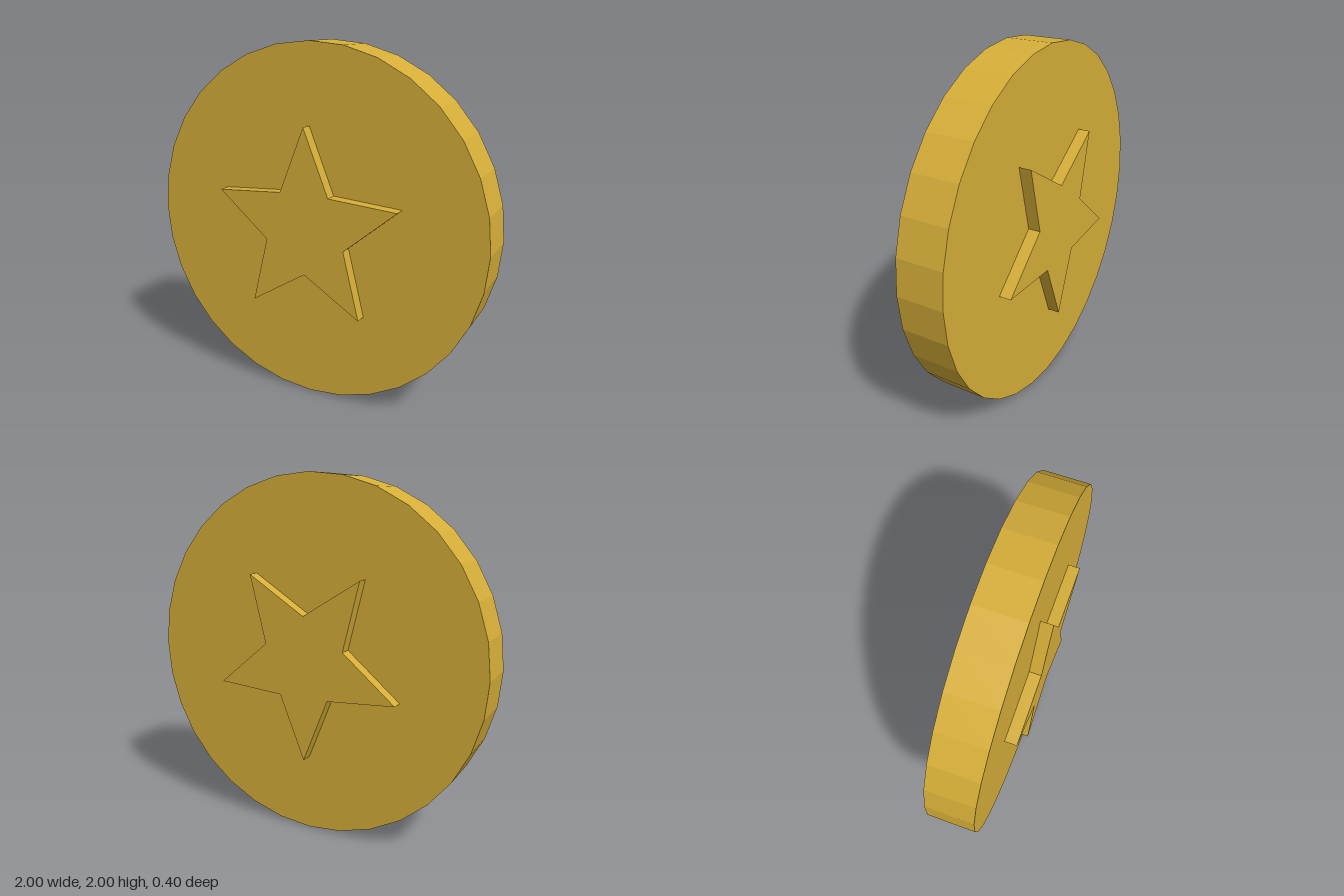
import * as THREE from 'three';

const DISC_HALF = 0.132; // half thickness of the disc
const STAR_FACE = 0.2;   // distance of the star faces from the middle

// Five-pointed star outline with its first tip at the top
function starShape(outer, inner) {
  const points = [];
  for (let i = 0; i < 10; i++) {
    const angle = Math.PI / 2 + (i * Math.PI) / 5;
    const radius = i % 2 ? inner : outer;
    points.push(new THREE.Vector2(radius * Math.cos(angle), radius * Math.sin(angle)));
  }
  return new THREE.Shape(points);
}

export function createModel() {
  const model = new THREE.Group();
  model.name = 'starCoin';
  const gold = new THREE.MeshStandardMaterial({ color: 0xd6ae38 });
  gold.name = 'gold';
  gold.flatShading = true;

  // Faceted disc standing on its rim
  const discGeometry = new THREE.CylinderGeometry(1, 1, DISC_HALF * 2, 32);
  discGeometry.rotateX(Math.PI / 2);
  const disc = new THREE.Mesh(discGeometry, gold);
  disc.name = 'disc';
  disc.position.y = 1;
  model.add(disc);

  // Raised stars: upright on the front, turned over onto the back
  const starGeometry = new THREE.ExtrudeGeometry(starShape(0.566, 0.25), {
    depth: STAR_FACE - DISC_HALF,
    bevelEnabled: false,
  });
  starGeometry.translate(0, 0, DISC_HALF);
  for (const [name, turn] of [['frontStar', 0], ['backStar', Math.PI]]) {
    const star = new THREE.Mesh(starGeometry, gold);
    star.name = name;
    star.position.y = 1;
    star.rotation.x = turn;
    model.add(star);
  }
  return model;
}
